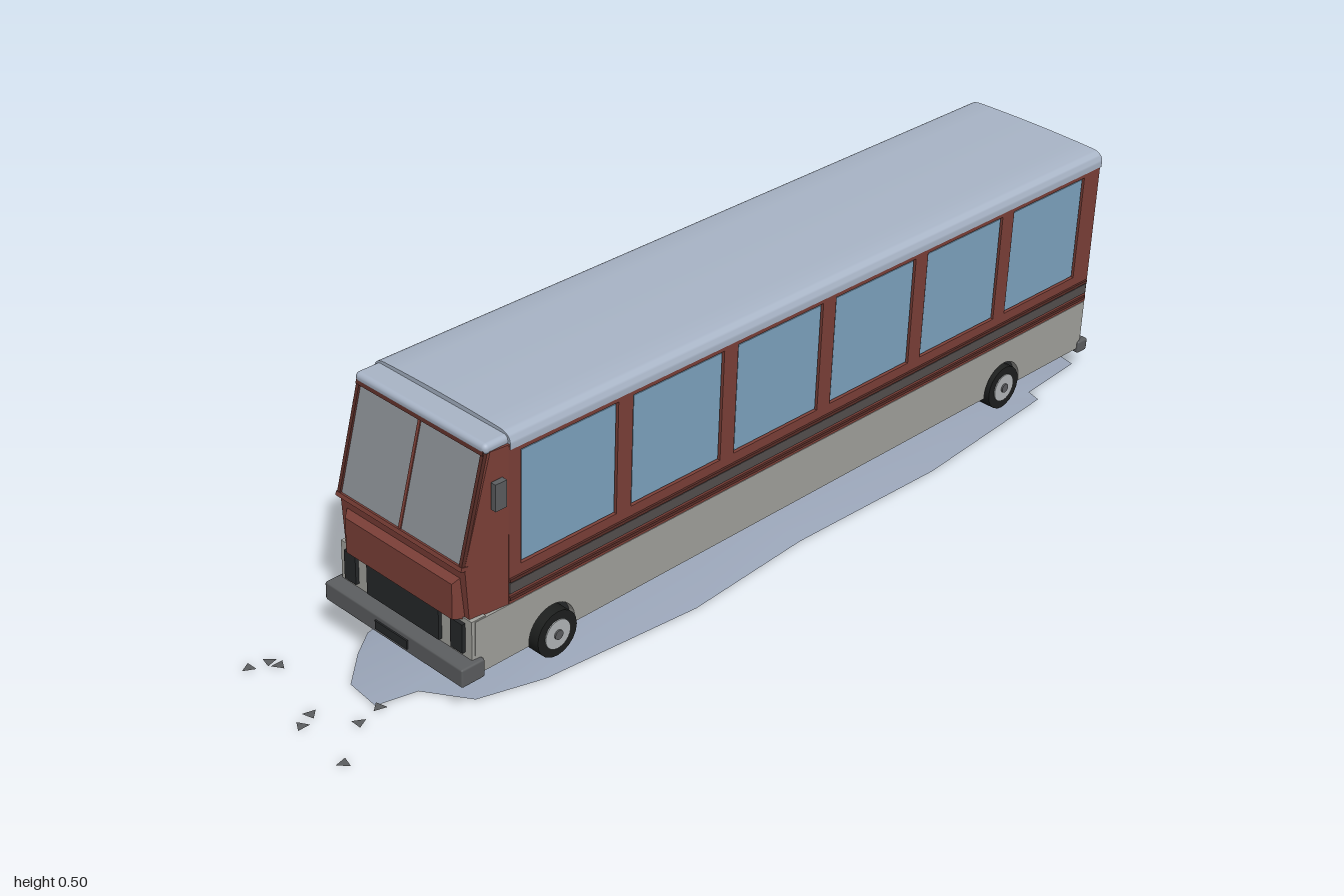
import * as THREE from 'three';
import { toCreasedNormals } from 'three/addons/utils/BufferGeometryUtils.js';
import { RoundedBoxGeometry } from 'three/addons/geometries/RoundedBoxGeometry.js';

const mat = (color) => new THREE.MeshStandardMaterial({ color, side: THREE.DoubleSide });
const M = {
  red: mat(0x7d4038), darkRed: mat(0x5a2e28), roof: mat(0xa8b4c6), skirt: mat(0xa3a39e),
  glass: mat(0x7fa6c2), screen: mat(0x8d9297), black: mat(0x26282a), tyre: mat(0x1d1f1e),
  bumper: mat(0x5c5e60), hub: mat(0xb4b8ba), stripe: mat(0x55504f), amber: mat(0xd8b070),
  ground: mat(0x9aa5b8),
};

function add(parent, name, geo, material, x = 0, y = 0, z = 0) {
  const m = new THREE.Mesh(geo, material);
  m.name = name;
  m.position.set(x, y, z);
  parent.add(m);
  return m;
}
const box = (p, name, material, w, h, d, x, y, z) =>
  add(p, name, new THREE.BoxGeometry(w, h, d), material, x, y, z);

const poly = (pts) => new THREE.Shape(pts.map(([a, b]) => new THREE.Vector2(a, b)));
const rect = (a0, a1, b0, b1) => [[a0, b0], [a1, b0], [a1, b1], [a0, b1]];

// Extrudes a (z, y) outline across x, centred on x = 0
function sideExtrude(shape, width) {
  const g = new THREE.ExtrudeGeometry(shape, { depth: width, bevelEnabled: false, curveSegments: 10 });
  g.translate(0, 0, -width / 2);
  return g.rotateY(-Math.PI / 2);
}

const WINDOW_Z = Array.from({ length: 6 }, (_, i) => 0.532 - 0.2475 * i);
const WHEELS = [{ z: 0.57, outer: 0.178 }, { z: -0.612, outer: 0.17 }];

function buildSide(bus, s) {
  // Window wall with six openings
  const wall = poly(rect(-0.855, 0.665, 0.165, 0.465));
  for (const z of WINDOW_Z) {
    wall.holes.push(poly(rect(z - 0.107, z + 0.107, 0.235, 0.45)));
    box(bus, 'sideWindow', M.glass, 0.004, 0.208, 0.207, s * 0.1585, 0.3425, z);
  }
  add(bus, 'sideWall', sideExtrude(wall, 0.008), M.red, s * 0.159);
  box(bus, 'sideStripe', M.stripe, 0.004, 0.02, 1.52, s * 0.164, 0.198, -0.095);
  box(bus, 'sideRail', M.darkRed, 0.005, 0.006, 1.52, s * 0.1645, 0.213, -0.095);
  box(bus, 'lowerRail', M.darkRed, 0.005, 0.006, 1.52, s * 0.1645, 0.178, -0.095);

  // Skirt with round wheel arches
  const skirt = new THREE.Shape();
  skirt.moveTo(-0.855, 0.063);
  for (const { z } of [...WHEELS].reverse()) {
    skirt.lineTo(z - 0.052, 0.063);
    skirt.absarc(z, 0.07, 0.052, Math.PI, 0, true);
    skirt.lineTo(z + 0.052, 0.063);
  }
  skirt.lineTo(0.738, 0.063);
  skirt.lineTo(0.738, 0.167);
  skirt.lineTo(-0.855, 0.167);
  add(bus, 'skirt', sideExtrude(skirt, 0.014), M.skirt, s * 0.157);

  // Wheels
  for (const { z, outer } of WHEELS) {
    const wheel = new THREE.Group();
    wheel.name = 'wheel';
    const disc = (name, r, w, m, x) =>
      add(wheel, name, new THREE.CylinderGeometry(r, r, w, 20).rotateZ(Math.PI / 2), m, x);
    disc('tyre', 0.044, 0.05, M.tyre, 0);
    disc('rim', 0.028, 0.004, M.hub, s * 0.025);
    disc('hub', 0.009, 0.008, M.bumper, s * 0.026);
    wheel.position.set(s * (outer - 0.026), 0.07, z);
    bus.add(wheel);
  }

  // Cab quarter window and mirror
  const quarter = poly([[0.672, 0.275], [0.738, 0.275], [0.697, 0.445], [0.672, 0.445]]);
  add(bus, 'quarterWindow', sideExtrude(quarter, 0.004), M.glass, s * 0.157).rotation.y = -s * 0.11;
  bus.children[bus.children.length - 1].position.set(s * 0.2315, 0, 0.001);
  box(bus, 'mirror', M.bumper, 0.011, 0.05, 0.024, s * 0.168, 0.39, 0.69);
  box(bus, 'mirrorArm', M.black, 0.02, 0.005, 0.006, s * 0.16, 0.385, 0.685);

  // Front lamp and tail lamp
  box(bus, 'headlight', M.black, 0.029, 0.056, 0.008, s * 0.133, 0.132, 0.748);
  box(bus, 'tailLight', M.amber, 0.018, 0.022, 0.006, s * 0.142, 0.1, -0.863);
}

function buildFront(bus) {
  // Cab shell, narrowing toward the front
  const cab = sideExtrude(poly([[0.66, 0.165], [0.742, 0.165], [0.75, 0.27], [0.7, 0.468], [0.66, 0.468]]), 0.326);
  const p = cab.attributes.position;
  for (let i = 0; i < p.count; i++) p.setX(i, p.getX(i) * (1 - 0.65 * (p.getZ(i) - 0.66)));
  cab.computeVertexNormals();
  add(bus, 'cabShell', cab, M.red);

  // Raked windscreen in two panes
  const screen = new THREE.Group();
  screen.name = 'windscreen';
  screen.position.set(0, 0.367, 0.727);
  screen.rotation.x = -0.247;
  for (const s of [-1, 1]) {
    box(screen, 'windscreenPane', M.screen, 0.146, 0.192, 0.004, s * 0.0745, 0, 0);
    box(screen, 'screenPillar', M.darkRed, 0.007, 0.205, 0.012, s * 0.15, 0, 0);
  }
  box(screen, 'screenDivider', M.red, 0.006, 0.195, 0.008, 0, 0, 0);
  box(screen, 'screenHeader', M.darkRed, 0.306, 0.008, 0.016, 0, 0.1, 0);
  box(screen, 'screenSill', M.red, 0.31, 0.008, 0.014, 0, -0.1, 0);
  bus.add(screen);

  // Nose panel with a sloped upper ledge
  const nose = new THREE.BoxGeometry(0.3, 0.094, 0.026);
  const n = nose.attributes.position;
  for (let i = 0; i < n.count; i++) {
    if (n.getZ(i) > 0) {
      n.setX(i, n.getX(i) * 0.88);
      if (n.getY(i) > 0) n.setY(i, n.getY(i) - 0.026);
    }
  }
  nose.computeVertexNormals();
  add(bus, 'nosePanel', nose, M.red, 0, 0.213, 0.746);

  // Grille panel, bumper and plate
  box(bus, 'frontPanel', M.skirt, 0.326, 0.085, 0.03, 0, 0.127, 0.73);
  box(bus, 'grille', M.black, 0.18, 0.062, 0.008, 0, 0.132, 0.748);
  add(bus, 'frontBumper', new RoundedBoxGeometry(0.346, 0.036, 0.05, 1, 0.004), M.bumper, 0, 0.077, 0.75);
  box(bus, 'frontPlate', M.black, 0.08, 0.017, 0.004, 0, 0.077, 0.776);
}

function buildRear(bus) {
  const wall = poly(rect(-0.163, 0.163, 0.165, 0.465));
  wall.holes.push(poly(rect(-0.138, 0.138, 0.245, 0.446)));
  add(bus, 'rearWall', new THREE.ExtrudeGeometry(wall, { depth: 0.008, bevelEnabled: false }), M.red, 0, 0, -0.86);
  box(bus, 'rearWindow', M.glass, 0.27, 0.195, 0.004, 0, 0.3455, -0.855);
  box(bus, 'rearPanel', M.skirt, 0.326, 0.104, 0.01, 0, 0.115, -0.855);
  add(bus, 'rearBumper', new RoundedBoxGeometry(0.338, 0.026, 0.028, 1, 0.004), M.bumper, 0, 0.066, -0.864);
}

function buildRoof(bus) {
  // Gently crowned roof with round shoulders
  const w = 0.164;
  const s = new THREE.Shape();
  s.moveTo(-w, 0.458);
  s.lineTo(w, 0.458);
  s.lineTo(w, 0.468);
  s.quadraticCurveTo(w, 0.486, w - 0.024, 0.488);
  s.quadraticCurveTo(0, 0.493, -w + 0.024, 0.488);
  s.quadraticCurveTo(-w, 0.486, -w, 0.468);
  const g = new THREE.ExtrudeGeometry(s, { depth: 1.525, bevelEnabled: false, curveSegments: 8 });
  add(bus, 'roof', toCreasedNormals(g, 0.7), M.roof, 0, 0, -0.863);
  add(bus, 'roofVisor', new RoundedBoxGeometry(0.316, 0.02, 0.06, 3, 0.009), M.roof, 0, 0.472, 0.68);
}

// Low mound with a ragged outline, built from rings
function moundGeometry() {
  const outline = [
    [0.05, -1], [-0.01, -0.87], [-0.08, -0.87], [-0.12, -0.9], [-0.12, -0.8], [-0.14, -0.6], [-0.165, -0.42],
    [-0.23, -0.03], [-0.215, 0.29], [-0.165, 0.5], [-0.125, 0.72], [-0.09, 0.77], [-0.03, 0.835], [0.045, 0.845],
    [0.065, 0.77], [0.15, 0.72], [0.19, 0.6], [0.225, 0.28], [0.21, 0], [0.225, -0.35],
    [0.2, -0.7], [0.17, -0.71], [0.16, -0.86], [0.085, -0.88],
  ];
  const rings = 6, n = outline.length, pos = [], idx = [];
  for (let r = 0; r <= rings; r++) {
    const t = r / rings;
    for (const [x, z] of outline) pos.push(x * t, 0.027 * (1 - t * t), z * t);
  }
  for (let r = 0; r < rings; r++) {
    for (let i = 0; i < n; i++) {
      const a = r * n + i, b = r * n + ((i + 1) % n);
      idx.push(a, a + n, b, b, a + n, b + n);
    }
  }
  const g = new THREE.BufferGeometry();
  g.setAttribute('position', new THREE.Float32BufferAttribute(pos, 3));
  g.setIndex(idx);
  g.computeVertexNormals();
  return g;
}

export function createModel() {
  const model = new THREE.Group();
  model.name = 'busOnMound';

  // Bus, tilted slightly on the uneven ground
  const bus = new THREE.Group();
  bus.name = 'bus';
  bus.position.x = 0.008;
  bus.rotation.set(-0.016, 0, -0.035);
  model.add(bus);
  box(bus, 'chassis', M.black, 0.302, 0.105, 1.57, 0, 0.111, -0.06);
  box(bus, 'interior', M.darkRed, 0.312, 0.3, 1.5, 0, 0.313, -0.1);
  for (const s of [-1, 1]) buildSide(bus, s);
  buildFront(bus);
  buildRear(bus);
  buildRoof(bus);

  add(model, 'mound', moundGeometry(), M.ground);

  // Loose shards on the ground ahead
  const shards = [[-0.155, 0.885], [-0.175, 0.89], [-0.185, 0.925], [-0.01, 0.935], [0.005, 0.965],
    [0.13, 0.98], [0.065, 0.895], [0.055, 0.845]];
  shards.forEach(([x, z], i) => {
    const g = new THREE.CircleGeometry(0.014, 3).rotateX(-Math.PI / 2);
    add(model, 'shard', g, M.bumper, x, 0.003, z).rotation.y = i * 1.3;
  });
  return model;
}
